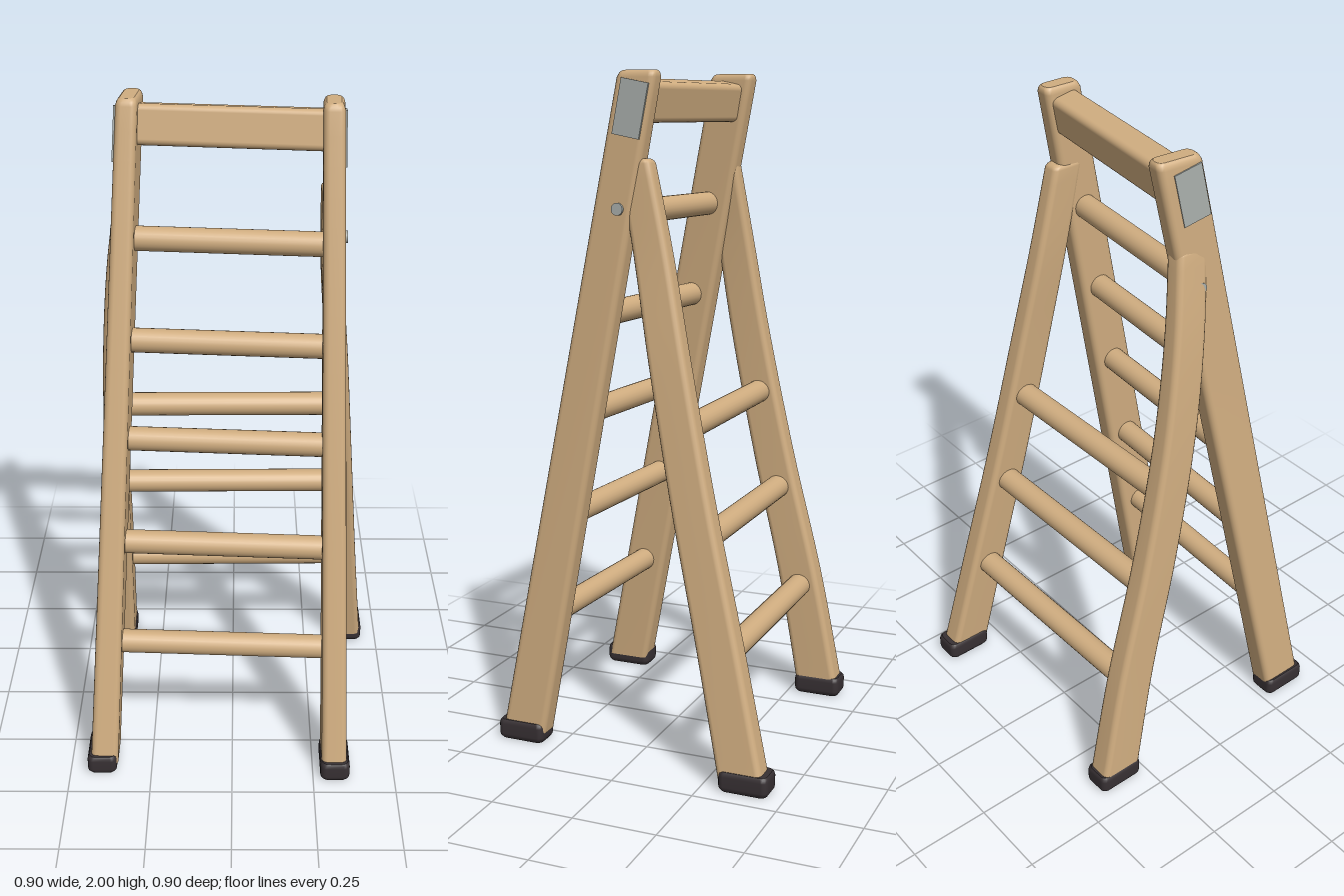
import * as THREE from 'three';
import { RoundedBoxGeometry } from 'three/addons/geometries/RoundedBoxGeometry.js';

const wood = new THREE.MeshStandardMaterial({ name: 'warm wood', color: 0xd0ad80 });
const rubber = new THREE.MeshStandardMaterial({ name: 'dark rubber', color: 0x373033 });
const metal = new THREE.MeshStandardMaterial({ name: 'grey metal', color: 0xa8aeab });

const V = (x, y, z) => new THREE.Vector3(x, y, z);

// Horizontal rounded-rectangle outline, counter-clockwise seen from above
function outline(c, w, d, yaw, r) {
  const pts = [];
  for (let k = 0; k < 4; k++) {
    const sx = k === 0 || k === 3 ? 1 : -1;
    const sz = k < 2 ? 1 : -1;
    for (let i = 0; i <= 4; i++) {
      const a = (k + i / 4) * Math.PI / 2;
      pts.push(V(sx * (w / 2 - r) + r * Math.cos(a), 0, sz * (d / 2 - r) + r * Math.sin(a))
        .applyAxisAngle(V(0, 1, 0), yaw).add(c));
    }
  }
  return pts;
}

// Skin a stack of outlines from bottom to top and close both ends
function loft(rings) {
  const n = rings[0].length, pos = [], idx = [];
  rings.forEach(ring => ring.forEach(p => pos.push(p.x, p.y, p.z)));
  for (let j = 0; j < rings.length - 1; j++) {
    for (let i = 0; i < n; i++) {
      const a = j * n + i, b = j * n + (i + 1) % n;
      idx.push(a, a + n, b, b, a + n, b + n);
    }
  }
  [0, rings.length - 1].forEach((j, top) => {
    const c = pos.length / 3, m = V(0, 0, 0);
    rings[j].forEach(p => m.addScaledVector(p, 1 / n));
    pos.push(m.x, m.y, m.z);
    rings[j].forEach(p => pos.push(p.x, p.y, p.z));
    for (let i = 0; i < n; i++) {
      const a = c + 1 + i, b = c + 1 + (i + 1) % n;
      if (top) idx.push(c, b, a); else idx.push(c, a, b);
    }
  });
  const g = new THREE.BufferGeometry();
  g.setAttribute('position', new THREE.Float32BufferAttribute(pos, 3));
  g.setIndex(idx);
  g.computeVertexNormals();
  return g;
}

// Tapered rail along a curve, with softened top edge
function railGeometry(path, size0, size1, yaw) {
  const rings = [], steps = 24;
  const add = (t, inset) => rings.push(outline(path.getPoint(t),
    THREE.MathUtils.lerp(size0[0], size1[0], t) - inset,
    THREE.MathUtils.lerp(size0[1], size1[1], t) - inset, yaw * t, 0.018));
  for (let i = 0; i < steps; i++) add(i / steps, 0);
  [[0.99, 0], [0.995, 0.005], [0.998, 0.011], [1, 0.02]].forEach(([t, s]) => add(t, s));
  return loft(rings);
}

// Point on a rail at a given height
function atHeight(path, y) {
  let lo = 0, hi = 1;
  for (let i = 0; i < 24; i++) {
    const m = (lo + hi) / 2;
    if (path.getPoint(m).y < y) lo = m; else hi = m;
  }
  return path.getPoint(lo);
}

export function createModel() {
  const model = new THREE.Group();
  model.name = 'stepLadder';
  const add = (name, geometry, material) => {
    const m = new THREE.Mesh(geometry, material);
    m.name = name;
    model.add(m);
    return m;
  };

  // Rails: the back pair bows and merges into the front pair
  const curve = pts => new THREE.CatmullRomCurve3(pts.map(p => V(...p)));
  const frontL = new THREE.LineCurve3(V(0.315, 0.03, 0.368), V(0.28, 2, -0.003));
  const frontR = new THREE.LineCurve3(V(-0.395, 0.03, 0.342), V(-0.288, 2, -0.066));
  const backL = curve([[0.405, 0.03, -0.37], [0.375, 0.4, -0.285], [0.345, 0.8, -0.19],
    [0.315, 1.2, -0.105], [0.29, 1.5, -0.045], [0.28, 1.76, 0.01]]);
  const backR = curve([[-0.385, 0.03, -0.345], [-0.378, 0.4, -0.275], [-0.372, 0.8, -0.18],
    [-0.358, 1.2, -0.1], [-0.335, 1.5, -0.055], [-0.302, 1.74, -0.025]]);
  add('frontRailLeft', railGeometry(frontL, [0.077, 0.142], [0.061, 0.12], -0.05), wood);
  add('frontRailRight', railGeometry(frontR, [0.084, 0.138], [0.061, 0.14], -0.1), wood);
  add('backRailLeft', railGeometry(backL, [0.077, 0.138], [0.06, 0.1], 0), wood);
  add('backRailRight', railGeometry(backR, [0.082, 0.138], [0.06, 0.1], 0), wood);

  // Rubber feet
  [['frontFootLeft', 0.317, 0.375], ['frontFootRight', -0.402, 0.344],
    ['backFootLeft', 0.404, -0.379], ['backFootRight', -0.385, -0.346]].forEach(([name, x, z]) => {
    const ring = (y, s) => outline(V(x, y, z), 0.09 - s, 0.15 - s, 0, 0.018);
    add(name, loft([ring(0, 0.014), ring(0.008, 0.003), ring(0.016, 0), ring(0.046, 0),
      ring(0.055, 0.004), ring(0.06, 0.012)]), rubber);
  });

  // Rungs
  const rung = (name, a, b, tall, deep) => {
    const dir = b.clone().sub(a);
    const m = add(name, new THREE.CylinderGeometry(1, 1, dir.length(), 24), wood);
    m.scale.set(tall, 1, deep);
    m.position.copy(a).add(b).multiplyScalar(0.5);
    m.quaternion.setFromUnitVectors(V(0, 1, 0), dir.normalize());
  };
  [0.395, 0.71, 1.025, 1.315, 1.605].forEach(y =>
    rung('frontRung', atHeight(frontR, y), atHeight(frontL, y), 0.036, 0.036));
  [0.37, 0.695, 1.005].forEach(y =>
    rung('backRung', atHeight(backR, y), atHeight(backL, y), 0.036, 0.038));

  // Top board between the front rails
  const board = add('topBoard', new RoundedBoxGeometry(0.56, 0.115, 0.085, 4, 0.018), wood);
  board.position.set(-0.005, 1.918, -0.022);
  board.rotation.set(-0.19, -0.115, 0, 'YXZ');

  // Hinge plates and pivot bolts on the outer faces
  [[frontL, 1, -0.05, 0], [frontR, -1, -0.1, 0.02]].forEach(([path, side, yaw, shift]) => {
    const up = path.v2.clone().sub(path.v1).normalize();
    const out = V(side, 0, 0).applyAxisAngle(V(0, 1, 0), yaw);
    out.addScaledVector(up, -out.dot(up)).normalize();
    const turn = new THREE.Quaternion().setFromRotationMatrix(
      new THREE.Matrix4().makeBasis(out, up, out.clone().cross(up)));
    const plate = add('hingePlate', new THREE.BoxGeometry(0.008, 0.155, 0.085), metal);
    plate.position.copy(atHeight(path, 1.895)).addScaledVector(out, 0.032);
    plate.position.z += shift - 0.006;
    plate.quaternion.copy(turn);
    const bolt = add('pivotBolt', new THREE.CylinderGeometry(0.018, 0.018, 0.012, 16).rotateZ(Math.PI / 2), metal);
    bolt.position.copy(atHeight(path, 1.62)).addScaledVector(out, 0.034);
    bolt.position.z -= 0.02;
    bolt.quaternion.copy(turn);
  });
  return model;
}
